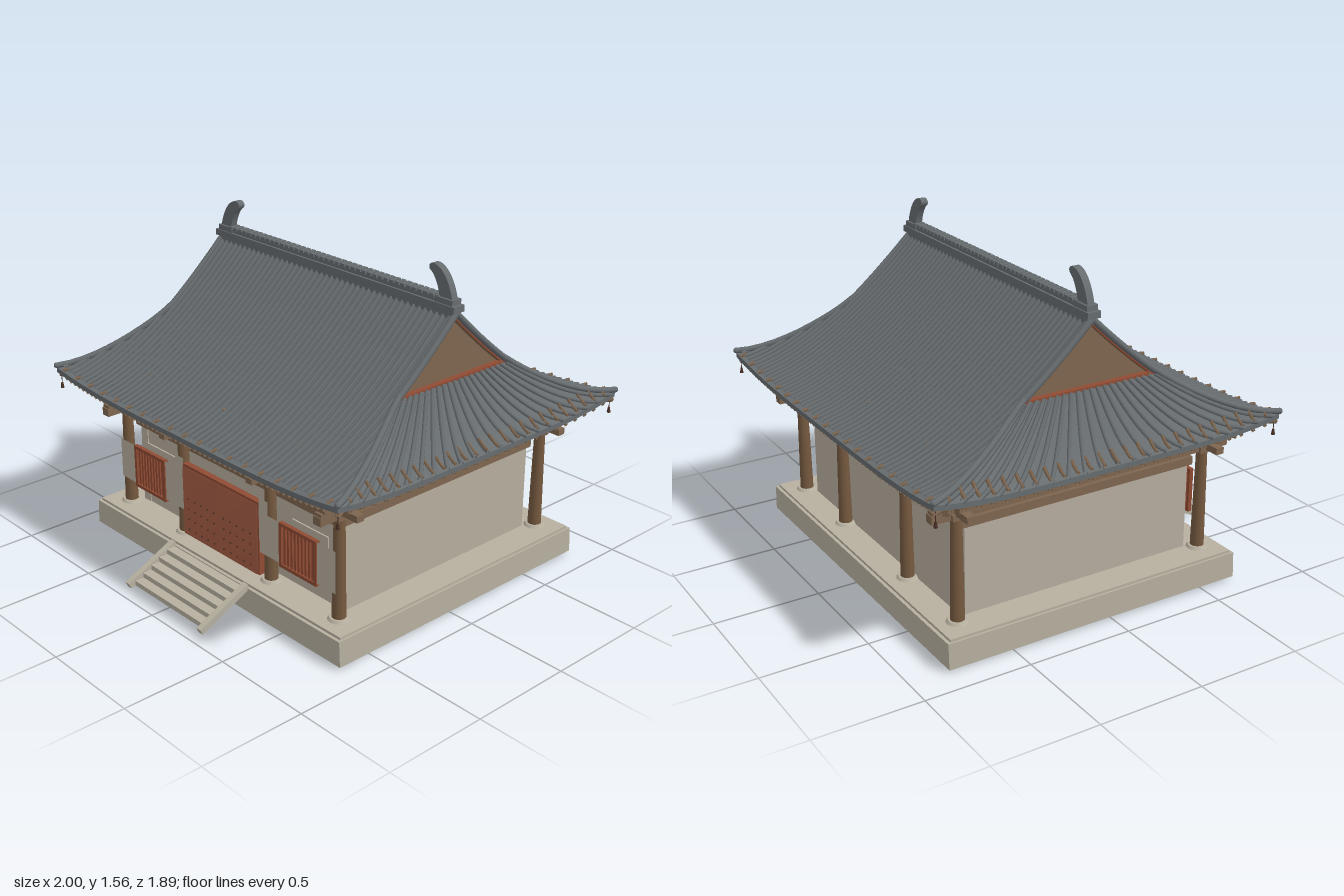
import * as THREE from 'three';
import { mergeGeometries, mergeVertices } from 'three/addons/utils/BufferGeometryUtils.js';

const material = (name, color, side = THREE.FrontSide) => {
  const m = new THREE.MeshStandardMaterial({ color, side });
  m.name = name;
  return m;
};

// Roof rule: d is the distance from the ridge, u runs across from -1 to 1
const EAVE = 0.865, HIP = 0.345;
const hipT = d => Math.max(0, (d - HIP) / (EAVE - HIP));
const halfWidth = d => 0.775 + 0.21 * hipT(d);
const roofY = (d, u) => 0.805 + 0.565 * Math.pow(Math.max(0, 1 - d / 0.87), 1.5)
  + 0.04 * Math.pow(Math.abs(u), 4) * hipT(d) ** 1.5;
const mainPoint = (d, u, s, dy = 0) => new THREE.Vector3(u * halfWidth(d), roofY(d, u) + dy, s * d);
const sidePoint = (d, u, s, dy = 0) => new THREE.Vector3(s * halfWidth(d), roofY(d, u) + dy, u * d);

// Grid surface from a function of two values in 0..1
function sheet(fn, nu, nv) {
  const g = new THREE.PlaneGeometry(1, 1, nu, nv), p = g.attributes.position;
  for (let i = 0; i < p.count; i++) {
    const v = fn(p.getX(i) + 0.5, 0.5 - p.getY(i));
    p.setXYZ(i, v.x, v.y, v.z);
  }
  g.computeVertexNormals();
  return g;
}
// Box shaded smoothly across its corners
function softBox(w, h, d) {
  const g = new THREE.BoxGeometry(w, h, d);
  g.deleteAttribute('normal');
  g.deleteAttribute('uv');
  const soft = mergeVertices(g);
  soft.computeVertexNormals();
  return soft;
}
const tube = (pts, r, sides = 6, n = 10) =>
  new THREE.TubeGeometry(new THREE.CatmullRomCurve3(pts), n, r, sides);
const path = (fn, a, b, n = 8) => Array.from({ length: n + 1 }, (_, i) => fn(a + (b - a) * i / n));

export function createModel() {
  const root = new THREE.Group();
  const hall = new THREE.Group();
  hall.name = 'hall';
  hall.position.z = -0.07;
  root.add(hall);

  const tile = material('grey roof tile', 0x676c6f, THREE.DoubleSide);
  const wood = material('brown timber', 0x7e664f, THREE.DoubleSide);
  const column = material('column timber', 0x75593f);
  const stone = material('pale stone', 0xb7b0a0);
  const plaster = material('wall plaster', 0xb6ad9e);
  const red = material('red door', 0xa35c44);
  const trim = material('red trim', 0x8f4b33);
  const dark = material('dark iron', 0x4a3026);

  const add = (name, geo, mat) => {
    const m = new THREE.Mesh(geo, mat);
    m.name = name;
    hall.add(m);
    return m;
  };
  const box = (name, mat, w, h, d, x, y, z) => {
    const m = add(name, new THREE.BoxGeometry(w, h, d), mat);
    m.position.set(x, y, z);
    return m;
  };
  const merged = (name, list, mat) => add(name, mergeGeometries(list), mat);

  // Platform, slightly flared at the foot
  const base = new THREE.BoxGeometry(1.75, 0.12, 1.5), bp = base.attributes.position;
  for (let i = 0; i < bp.count; i++) if (bp.getY(i) < 0) bp.setX(i, bp.getX(i) * 1.007);
  add('platform', base, stone).position.y = 0.08;
  box('platformPaving', stone, 1.73, 0.012, 1.47, 0, 0.146, 0);

  // Stairs: treads and risers between sloping side rails
  const slope = Math.atan2(0.125, 0.265), stairs = [];
  for (let i = 0; i < 5; i++) {
    const y = 0.135 - i * 0.024, z = 0.75 + i * 0.046;
    stairs.push(new THREE.PlaneGeometry(0.5, 0.046).rotateX(-Math.PI / 2).translate(0, y, z + 0.023));
    stairs.push(new THREE.PlaneGeometry(0.5, 0.024).translate(0, y - 0.012, z + 0.046));
  }
  merged('stairs', stairs, stone);
  for (const s of [-1, 1])
    box('stairRail', stone, 0.03, 0.03, 0.295, s * 0.265, 0.083, 0.875).rotation.x = slope;

  // Walls and top plate
  box('backWall', plaster, 1.39, 0.41, 0.06, 0, 0.355, -0.573);
  box('frontWall', plaster, 1.4, 0.41, 0.04, 0, 0.355, 0.555);
  for (const s of [-1, 1]) {
    box('sideWall', plaster, 0.05, 0.41, 1.16, s * 0.695, 0.355, 0);
    box('longPlate', wood, 1.45, 0.04, 0.06, 0, 0.58, s * 0.575);
    box('crossPlate', wood, 0.06, 0.04, 1.21, s * 0.695, 0.58, 0);
  }

  // Double door with studs
  box('doorFrame', trim, 0.54, 0.36, 0.03, 0, 0.35, 0.655);
  const studs = [];
  for (const s of [-1, 1]) {
    add('doorLeaf', softBox(0.26, 0.342, 0.02), red).position.set(s * 0.132, 0.347, 0.67);
    for (let r = 0; r < 4; r++) for (let c = 0; c < 5; c++)
      studs.push(new THREE.SphereGeometry(0.005, 6, 4).translate(s * (0.035 + c * 0.047), 0.21 + r * 0.052, 0.681));
  }
  merged('doorStuds', studs, dark);

  // Window bays: thin panel, frame and bars
  for (const s of [-1, 1]) {
    const x = s * 0.53;
    add('jamb', new THREE.PlaneGeometry(0.06, 0.2), plaster).position.set(s * 0.3, 0.455, 0.669);
    const panel = new THREE.Shape([[-0.255, -0.1], [0.235, -0.1], [0.235, 0.1], [-0.255, 0.1]]
      .map(([a, b]) => new THREE.Vector2(a * s, b)));
    panel.holes.push(new THREE.Path([[-0.11, -0.098], [-0.11, 0.098], [0.11, 0.098], [0.11, -0.098]]
      .map(([a, b]) => new THREE.Vector2(a, b))));
    add('windowPanel', new THREE.ShapeGeometry(panel), plaster).position.set(x, 0.39, 0.67);
    box('windowBack', plaster, 0.23, 0.2, 0.008, x, 0.385, 0.6);
    for (const k of [-1, 1]) {
      box('windowRail', trim, 0.24, 0.016, 0.02, x, 0.385 + k * 0.1, 0.666);
      box('windowStile', trim, 0.016, 0.216, 0.02, x + k * 0.112, 0.385, 0.666);
    }
    for (let i = -4; i <= 4; i++) box('windowBar', trim, 0.012, 0.19, 0.03, x + i * 0.0225, 0.385, 0.654);
  }

  // Columns and bracket sets
  for (const s of [-1, 1]) for (const x of [-0.75, -0.31, 0.31, 0.75]) {
    const z = s * 0.635, corner = Math.abs(x) > 0.5, out = corner ? Math.sign(x) * 0.02 : 0;
    add('columnBase', new THREE.CylinderGeometry(0.042, 0.052, 0.014, 20), stone).position.set(x, 0.157, z);
    add('column', new THREE.CylinderGeometry(0.025, 0.032, 0.49, 20), column).position.set(x, 0.4, z);
    box('capital', wood, 0.07, 0.03, 0.07, x, 0.65, z);
    box('lowerArm', wood, corner ? 0.21 : 0.155, 0.03, 0.04, x + out, 0.675, z);
    box('lowerCrossArm', wood, 0.04, 0.028, 0.24, x, 0.678, z);
    box('middleArm', wood, 0.13, 0.03, 0.05, x, 0.715, z);
    box('upperArm', wood, corner ? 0.2 : 0.15, 0.028, 0.04, x + out, 0.75, z);
    box('upperCrossArm', wood, 0.04, 0.028, 0.27, x, 0.75, z);
    for (const k of [-1, 1]) {
      box('armBlock', wood, 0.035, 0.025, 0.05, x + k * 0.055, 0.7, z);
      box('crossBlock', wood, 0.05, 0.025, 0.035, x, 0.703, z + k * 0.09);
    }
    if (corner) box('cornerArm', wood, 0.03, 0.028, 0.3, x, 0.725, z).rotation.y = s * Math.sign(x) * Math.PI / 4;
  }

  // Beams under the eaves and braces rising to the roof
  for (const s of [-1, 1]) {
    box('longBeam', wood, 1.62, 0.026, 0.04, 0, 0.713, s * 0.635);
    box('eavePurlin', wood, 1.76, 0.024, 0.03, 0, 0.784, s * 0.75);
    box('sideLowBeam', wood, 0.045, 0.038, 1.52, s * 0.75, 0.658, 0);
    box('sideBeam', wood, 0.05, 0.058, 1.24, s * 0.75, 0.703, 0);
    box('sideTopBeam', wood, 0.04, 0.026, 0.64, s * 0.75, 0.748, 0);
    box('sidePurlin', wood, 0.03, 0.024, 1.5, s * 0.87, 0.79, 0);
    for (const x of [-0.53, 0, 0.53]) for (const k of [-1, 1])
      box('brace', wood, 0.15, 0.032, 0.025, x + k * 0.055, 0.828, s * 0.635).rotation.z = -k * 0.7;
    for (const z of [-0.4, -0.13, 0.13, 0.4]) for (const k of [-1, 1])
      box('sideBrace', wood, 0.025, 0.032, 0.15, s * 0.75, 0.828, z + k * 0.055).rotation.x = k * 0.7;
  }

  // Roof slopes, soffits, tile ribs, rafters and rafter tips
  const ribs = [], rafters = [], tips = [];
  for (const s of [-1, 1]) {
    for (const [name, fn, start] of [['mainRoof', mainPoint, 0], ['endRoof', sidePoint, HIP]]) {
      const at = (b, dy) => (a, v) => fn(start + (EAVE - start) * (b ?? v), a * 2 - 1, s, dy);
      add(name, sheet(at(null, 0), 32, 20), tile);
      add(name + 'Soffit', sheet(at(null, -0.024), 32, 20), wood);
      add(name + 'Edge', sheet((a, v) => at(1, -0.024 * v)(a, 1), 32, 1), tile);
    }
    for (let i = -28; i <= 28; i++) {
      const x = i * 0.0343;
      const start = Math.abs(x) <= 0.775 ? 0.01 : HIP + (Math.abs(x) - 0.775) / 0.21 * (EAVE - HIP);
      const line = dy => d => mainPoint(d, x / halfWidth(d), s, dy);
      if (start < 0.82) ribs.push(tube(path(line(0.004), start, 0.845), 0.0105));
      if (start < 0.8) rafters.push(tube(path(line(-0.036), Math.max(start, 0.58), EAVE - 0.012, 4), 0.011, 4, 4));
      if (i % 3 === 0 && start < 0.8) tips.push(tube(path(line(0.01), 0.835, EAVE, 2), 0.008, 4, 2));
    }
    for (let i = -10; i <= 10; i++)
      ribs.push(tube(path(d => sidePoint(d, i / 10.5, s, 0.004), HIP, EAVE), 0.0105));
    for (let i = -12; i <= 12; i++) {
      const z = i * 0.066, d0 = Math.max(Math.abs(z), 0.6);
      const line = dy => d => sidePoint(d, z / d, s, dy);
      rafters.push(tube(path(line(-0.036), d0, EAVE - 0.012, 4), 0.011, 4, 4));
      tips.push(tube(path(line(0.012), Math.max(d0, 0.725), EAVE, 3), 0.009, 4, 3));
    }
  }
  merged('tileRibs', ribs, tile);
  merged('rafters', rafters, wood);
  merged('rafterTips', tips, wood);

  // Gable ends, verges, hips and corner bells
  for (const sx of [-1, 1]) {
    const gable = new THREE.Shape();
    gable.moveTo(-0.335, 1.065).lineTo(0.335, 1.065);
    for (let i = 8; i >= -8; i--) gable.lineTo(i * 0.041, roofY(Math.abs(i) * 0.041, 0) - 0.006);
    const g = add('gable', new THREE.ShapeGeometry(gable), wood);
    g.rotation.y = Math.PI / 2;
    g.position.x = sx * 0.75;
    box('gableSill', trim, 0.03, 0.012, 0.65, sx * 0.762, 1.076, 0);
    for (const sz of [-1, 1]) {
      add('verge', tube(path(d => mainPoint(d, sx, sz, 0.007), 0, HIP), 0.015, 8), tile);
      add('bargeBoard', tube(path(d => mainPoint(d, sx * 0.98, sz, -0.014), 0.01, 0.325), 0.006, 4), trim);
      add('hip', tube(path(d => mainPoint(d, sx, sz, 0.01), HIP - 0.02, EAVE), 0.014, 8), tile);
      add('hipTip', new THREE.SphereGeometry(0.014, 10, 8), tile).position.set(sx * 0.985, 0.856, sz * 0.865);
      add('hipRafter', tube(path(d => mainPoint(d, sx, sz, -0.034), 0.55, EAVE - 0.01), 0.014, 4), wood);
      add('cornerBell', new THREE.CylinderGeometry(0.005, 0.009, 0.025, 10), dark).position.set(sx * 0.97, 0.755, sz * 0.85);
      add('bellCord', new THREE.CylinderGeometry(0.002, 0.002, 0.05, 5), dark).position.set(sx * 0.97, 0.79, sz * 0.85);
    }
  }

  // Ridge with cap tiles and curved end horns
  box('ridgeFoot', tile, 1.56, 0.035, 0.045, 0, 1.37, 0);
  box('ridge', tile, 1.58, 0.03, 0.066, 0, 1.395, 0);
  box('ridgeCap', tile, 1.5, 0.02, 0.045, 0, 1.418, 0);
  const caps = [];
  for (let i = -20; i <= 20; i++) caps.push(new THREE.BoxGeometry(0.024, 0.016, 0.05).translate(i * 0.0343, 1.431, 0));
  merged('ridgeCapTiles', caps, tile);
  const horn = new THREE.Shape();
  horn.moveTo(0.77, 1.41).lineTo(0.763, 1.44);
  horn.bezierCurveTo(0.745, 1.51, 0.7, 1.575, 0.645, 1.57);
  horn.quadraticCurveTo(0.62, 1.56, 0.632, 1.54);
  horn.bezierCurveTo(0.66, 1.525, 0.685, 1.48, 0.692, 1.43);
  horn.lineTo(0.68, 1.41);
  for (const s of [-1, 1]) {
    const h = add('ridgeHorn', new THREE.ExtrudeGeometry(horn, { depth: 0.034, bevelEnabled: false, curveSegments: 10 }), tile);
    h.position.z = -0.017 * s;
    if (s < 0) h.rotation.y = Math.PI;
    box('hornBase', tile, 0.1, 0.03, 0.055, s * 0.725, 1.42, 0);
  }
  return root;
}
